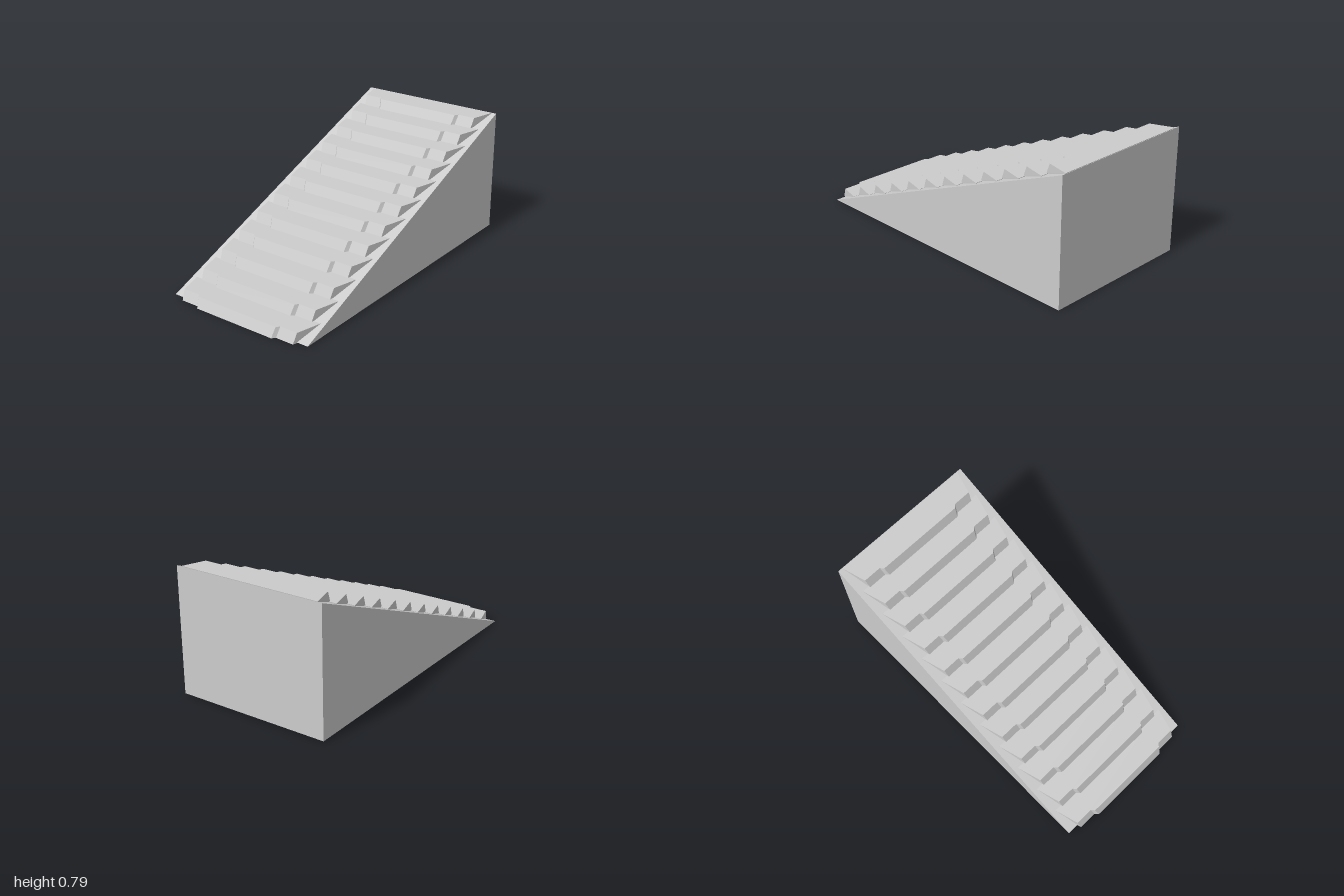
import * as THREE from 'three';

const STEPS = 12, RUN = 0.1636, RISE = 0.0655;

// half outlines from the front centre outwards to the back: [x, y, z]
const FOOT = [[0.275, 0, 1.0], [0.293, 0, 0.98], [0.41, 0, 0.98], [0.455, 0, 0.82]];
const TREAD = [[0.285, 0.0605, 0.973], [0.302, 0.061, 0.953], [0.417, 0.061, 0.953], [0.46, 0.065, 0.805]];

const mirrored = (half) => [...half, ...half.slice().reverse().map(([x, y, z]) => [-x, y, z])];

// loft between the foot outline and the tread outline, closed with caps
function stepGeometry() {
  const low = mirrored(FOOT), top = mirrored(TREAD), n = low.length;
  const pos = [];
  const tri = (a, b, c) => pos.push(...a, ...b, ...c);
  for (let i = 0; i < n; i++) {
    const j = (i + 1) % n;
    tri(low[i], low[j], top[j]);
    tri(low[i], top[j], top[i]);
  }
  const cap = (ring) => THREE.ShapeUtils.triangulateShape(ring.map(([x, , z]) => new THREE.Vector2(x, -z)), []);
  for (const [a, b, c] of cap(top)) tri(top[a], top[b], top[c]);
  for (const [a, b, c] of cap(low)) tri(low[a], low[c], low[b]);
  const g = new THREE.BufferGeometry();
  g.setAttribute('position', new THREE.Float32BufferAttribute(pos, 3));
  g.computeVertexNormals();
  return g;
}

export function createModel() {
  const group = new THREE.Group();
  group.name = 'staircase';
  const stone = new THREE.MeshStandardMaterial({ color: 0xcccccc });
  stone.name = 'light grey stone';

  // solid wedge under the steps
  const side = new THREE.Shape([
    new THREE.Vector2(-0.955, 0.004),
    new THREE.Vector2(1, 0.004),
    new THREE.Vector2(1, 0.785),
  ]);
  const wedge = new THREE.ExtrudeGeometry(side, { depth: 0.98, bevelEnabled: false });
  wedge.translate(0, 0, -0.49).rotateY(Math.PI / 2);
  const ramp = new THREE.Mesh(wedge, stone);
  ramp.name = 'ramp';
  group.add(ramp);

  // repeated steps with a protruding centre and tapered ends
  const geometry = stepGeometry();
  for (let i = 0; i < STEPS; i++) {
    const step = new THREE.Mesh(geometry, stone);
    step.name = `step${i + 1}`;
    step.position.set(0, i * RISE, -i * RUN);
    group.add(step);
  }
  return group;
}
